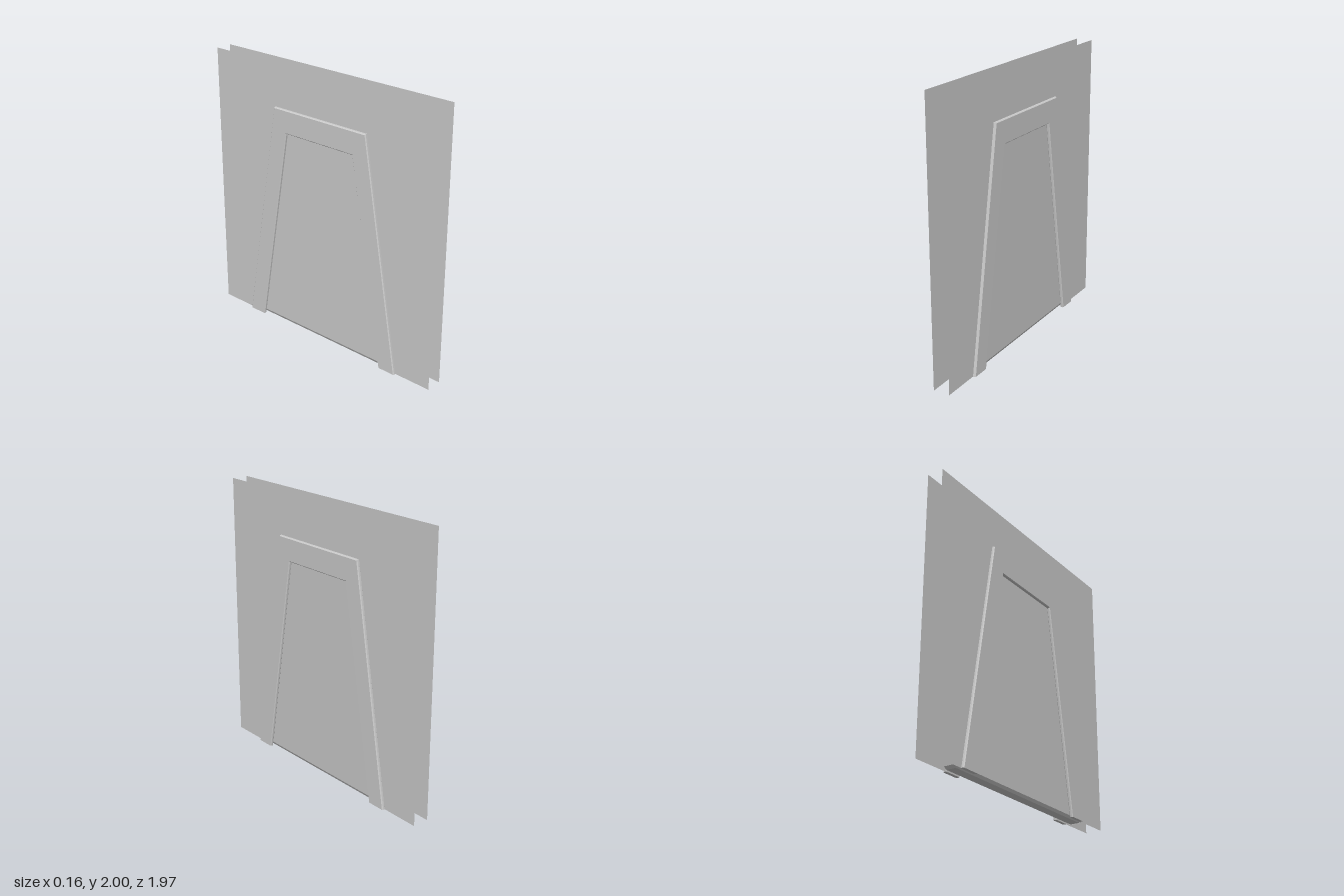
import * as THREE from 'three';

const SLOPE = 0.172; // lean of the door sides
const material = new THREE.MeshStandardMaterial({ color: 0xcccccc, flatShading: true });
const sheetMaterial = new THREE.MeshStandardMaterial({ color: 0xcccccc, side: THREE.DoubleSide });

// Corners of the tapered doorway, from one foot over the top to the other
function arch(bottom, height, foot = 0) {
  const top = bottom - SLOPE * height;
  const low = bottom - SLOPE * foot;
  return [[low, foot], [top, height], [-top, height], [-low, foot]];
}

const toShape = (points) => new THREE.Shape(points.map(([u, v]) => new THREE.Vector2(u, v)));

function add(group, name, geometry, mat = material) {
  const mesh = new THREE.Mesh(geometry, mat);
  mesh.name = name;
  group.add(mesh);
  return mesh;
}

// Wall sheet with the doorway cut out of its lower edge
function wallGeometry() {
  const outline = [[-0.985, 0], [-0.985, 2], [0.985, 2], [0.985, 0], ...arch(0.575, 1.53)];
  return new THREE.ShapeGeometry(toShape(outline)).rotateY(Math.PI / 2);
}

// Raised trim round the doorway, bevelled, cut flat at the floor
function trimGeometry() {
  const bevel = 0.006;
  const outline = [...arch(0.7 - bevel, 1.69 - bevel), ...arch(0.56 + bevel, 1.52 + bevel).reverse()];
  const geometry = new THREE.ExtrudeGeometry(toShape(outline), {
    depth: 0.013, bevelEnabled: true, bevelSize: bevel, bevelThickness: bevel, bevelSegments: 1,
  });
  const p = geometry.attributes.position;
  for (let i = 0; i < p.count; i++) p.setY(i, Math.max(0, p.getY(i)));
  geometry.translate(0, 0, bevel).rotateY(Math.PI / 2);
  geometry.computeVertexNormals();
  return geometry;
}

// Door leaf, thicker at the top than at the floor
function doorGeometry() {
  const geometry = new THREE.ExtrudeGeometry(toShape(arch(0.59, 1.54, 0.02)), { depth: 2, bevelEnabled: false });
  geometry.translate(0, 0, -1).rotateY(Math.PI / 2);
  const p = geometry.attributes.position;
  for (let i = 0; i < p.count; i++) {
    p.setX(i, p.getX(i) * THREE.MathUtils.lerp(0.045, 0.057, p.getY(i) / 1.54));
  }
  geometry.computeVertexNormals();
  return geometry;
}

// Groove inside the wall, facing the door: a chamfered channel swept over the arch
function channelGeometry() {
  const section = [[-0.045, 0.12], [-0.045, 0.01], [-0.035, 0], [0.035, 0], [0.045, 0.01], [0.045, 0.12]];
  const rows = section.map(([x, inset]) =>
    arch(0.735 - inset, 1.735 - inset).map(([z, y]) => [x, y, z]));
  const positions = [];
  for (let j = 0; j < section.length - 1; j++) {
    for (let i = 0; i < 3; i++) {
      const a = rows[j][i], b = rows[j][i + 1], c = rows[j + 1][i], d = rows[j + 1][i + 1];
      positions.push(...a, ...b, ...c, ...b, ...d, ...c);
    }
  }
  const geometry = new THREE.BufferGeometry();
  geometry.setAttribute('position', new THREE.Float32BufferAttribute(positions, 3));
  geometry.computeVertexNormals();
  return geometry;
}

// Threshold bar with its sides drawn in towards the floor
function thresholdGeometry() {
  const geometry = new THREE.BoxGeometry(0.09, 0.02, 1.47).translate(0, 0.01, 0);
  const p = geometry.attributes.position;
  for (let i = 0; i < p.count; i++) {
    if (p.getY(i) > 0.01) continue;
    p.setX(i, Math.sign(p.getX(i)) * 0.035);
    p.setZ(i, Math.sign(p.getZ(i)) * 0.72);
  }
  geometry.computeVertexNormals();
  return geometry;
}

export function createModel() {
  const group = new THREE.Group();
  group.name = 'doorway';

  add(group, 'door', doorGeometry());
  add(group, 'doorChannel', channelGeometry());
  add(group, 'threshold', thresholdGeometry());

  // Matching wall sheet and trim on both sides
  for (const [side, turn] of [['left', 0], ['right', Math.PI]]) {
    const face = new THREE.Group();
    face.name = `${side}Side`;
    add(face, `${side}Wall`, wallGeometry(), sheetMaterial).position.x = 0.06;
    add(face, `${side}Trim`, trimGeometry()).position.x = 0.055;
    face.rotation.y = turn;
    group.add(face);
  }
  return group;
}
